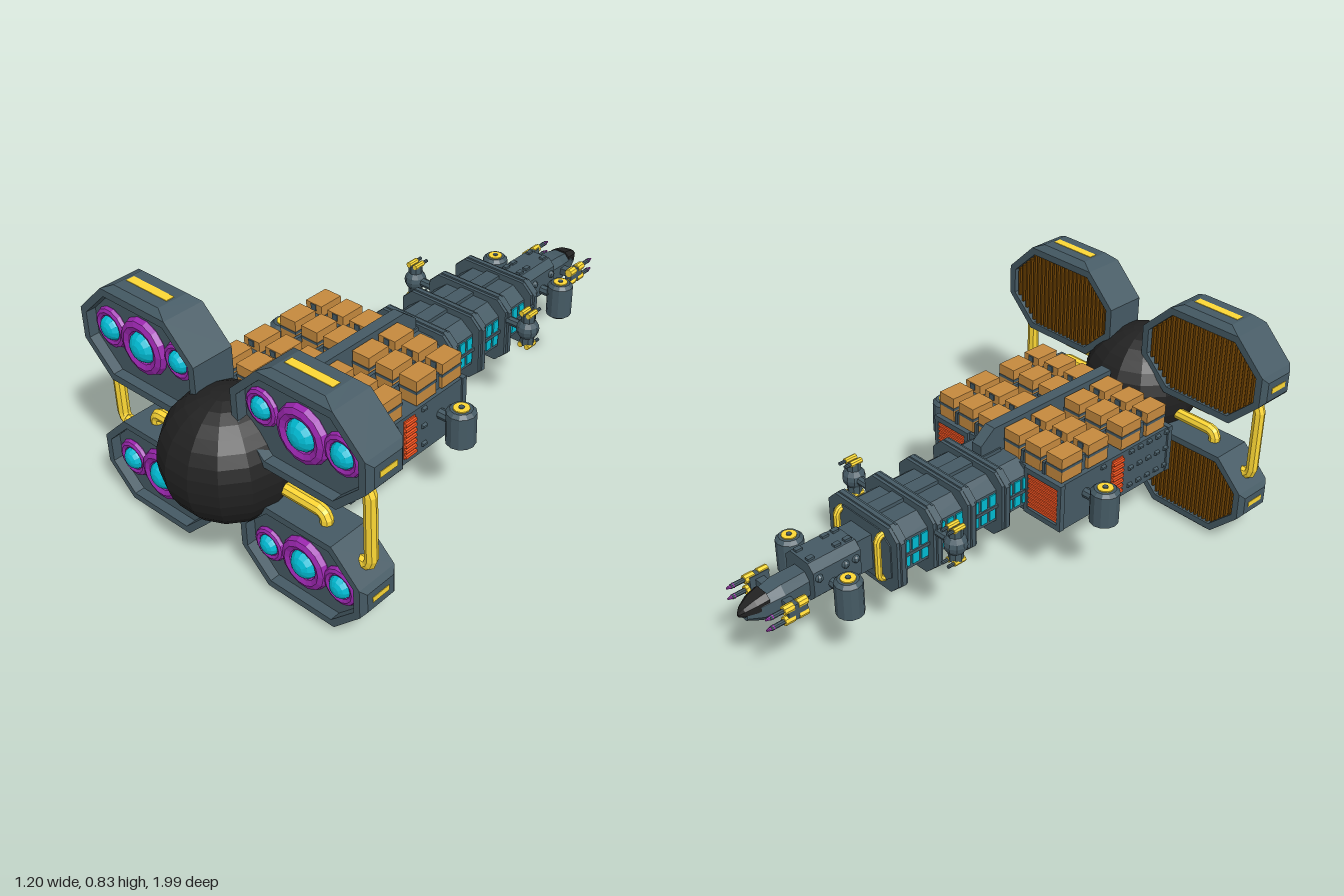
import * as THREE from 'three';

const mat = (color) => new THREE.MeshStandardMaterial({ color, flatShading: true });
const GREY = mat(0x455a64), BLACK = mat(0x212121), YELLOW = mat(0xfdd835), PURPLE = mat(0x9c27b0);
const BLUE = mat(0x00bcd4), TAN = mat(0xc68a3e), ORANGE = mat(0xff5722), BROWN = mat(0x6b4000), DARK = mat(0x2c3a41);

function add(parent, name, geo, m, x = 0, y = 0, z = 0) {
  const mesh = new THREE.Mesh(geo, m);
  mesh.name = name;
  mesh.position.set(x, y, z);
  parent.add(mesh);
  return mesh;
}
const box = (p, name, m, w, h, d, x, y, z) => add(p, name, new THREE.BoxGeometry(w, h, d), m, x, y, z);
const cyl = (p, name, m, r, h, x, y, z, n = 12, r2 = r) => add(p, name, new THREE.CylinderGeometry(r2, r, h, n), m, x, y, z);

// Octagon with half sizes w, h and flat half lengths a (top) and b (side)
const octagon = (w, h, a, b) => [[w, -b], [w, b], [a, h], [-a, h], [-w, b], [-w, -b], [-a, -h], [a, -h]].map((p) => new THREE.Vector2(...p));
function prism(outer, depth, hole) {
  const shape = new THREE.Shape(outer);
  if (hole) shape.holes.push(new THREE.Path(hole));
  return new THREE.ExtrudeGeometry(shape, { depth, bevelEnabled: false });
}
// Box whose +y end is shrunk
function frustum(w, h, d, sx, sz) {
  const g = new THREE.BoxGeometry(w, h, d), p = g.attributes.position;
  for (let i = 0; i < p.count; i++) if (p.getY(i) > 0) p.setXYZ(i, p.getX(i) * sx, p.getY(i), p.getZ(i) * sz);
  g.computeVertexNormals();
  return g;
}
function pipe(parent, name, points, r) {
  const curve = new THREE.CatmullRomCurve3(points.map((p) => new THREE.Vector3(...p)), false, 'catmullrom', 0);
  return add(parent, name, new THREE.TubeGeometry(curve, 24, r, 8), YELLOW);
}

function enginePod() {
  const g = new THREE.Group();
  g.name = 'enginePod';
  const inner = octagon(0.23, 0.14, 0.132, 0.046);
  add(g, 'podRim', prism(octagon(0.255, 0.165, 0.143, 0.055), 0.15, inner), GREY, 0, 0, 0.68);
  add(g, 'podCore', prism(inner, 0.085), GREY, 0, 0, 0.71);
  add(g, 'rearGrilleBack', prism(inner, 0.01), BROWN, 0, 0, 0.702);
  for (let i = -11; i <= 11; i++) {
    const x = i * 0.0195, ax = Math.abs(x) + 0.005;
    const h = ax < 0.132 ? 0.14 : 0.14 - (ax - 0.132) * 0.96;
    box(g, 'rearGrilleBar', BROWN, 0.009, 2 * h, 0.018, x, 0, 0.696);
  }
  // Tapered caps with lights on top and on the outer side
  add(g, 'topCap', frustum(0.286, 0.02, 0.15, 0.7, 0.73), GREY, 0, 0.175, 0.755);
  box(g, 'topLight', YELLOW, 0.18, 0.006, 0.03, 0, 0.184, 0.755);
  add(g, 'sideCap', frustum(0.11, 0.015, 0.15, 0.65, 0.75), GREY, 0.2625, 0, 0.755).rotation.z = -Math.PI / 2;
  box(g, 'sideLight', YELLOW, 0.006, 0.02, 0.07, 0.269, 0, 0.755);
  // Three thrusters: x, y, outer radius, core radius
  for (const [x, y, R, r] of [[0, 0.005, 0.097, 0.053], [-0.158, 0.02, 0.063, 0.038], [0.15, 0.01, 0.07, 0.042]]) {
    const t = (R - r) * 0.55;
    add(g, 'thrusterRing', new THREE.TorusGeometry(R - t, t, 8, 14), PURPLE, x, y, 0.797);
    const core = add(g, 'thrusterCore', new THREE.SphereGeometry(r, 12, 8), BLUE, x, y, 0.8);
    core.rotation.x = Math.PI / 2;
    core.scale.y = 0.75;
  }
  return g;
}

// Upright drum with a yellow lid, on an arm from the hull
function drum(g, s, x, y0, y1, z, r, armFrom) {
  cyl(g, 'sideDrum', GREY, r, y1 - y0, s * x, (y0 + y1) / 2, z);
  cyl(g, 'drumShoulder', GREY, r, 0.012, s * x, y1 + 0.006, z, 12, r * 0.75);
  cyl(g, 'drumLid', YELLOW, r * 0.55, 0.012, s * x, y1 + 0.01, z);
  cyl(g, 'drumLidCentre', GREY, r * 0.2, 0.018, s * x, y1 + 0.01, z, 8);
  cyl(g, 'drumBase', DARK, r * 0.7, 0.012, s * x, y0 - 0.005, z);
  cyl(g, 'drumArm', GREY, 0.018, x - armFrom, s * (x + armFrom) / 2, (y0 + y1) / 2 + 0.01, z, 8).rotation.z = Math.PI / 2;
}

function barrel(g, name, m, r, len, x, y, z, tip = r) {
  cyl(g, name, m, r, len, x, y, z, 8, tip).rotation.x = -Math.PI / 2;
}

export function createModel() {
  const model = new THREE.Group();

  // Reactor sphere
  add(model, 'reactorSphere', new THREE.SphereGeometry(0.215, 14, 16), BLACK, 0, 0.414, 0.785);

  // Four engine pods and their pipes
  for (const s of [1, -1]) {
    const upper = enginePod(), lower = enginePod();
    upper.position.set(s * 0.33, 0.645, 0);
    upper.scale.set(s, 1, 1);
    lower.position.set(s * 0.313, 0.174, 0);
    lower.scale.set(s * 0.94, -0.94, 1);
    model.add(upper, lower);
    const z = 0.76;
    pipe(model, 'outerPipe', [[s * 0.44, 0.55, z], [s * 0.52, 0.55, z], [s * 0.537, 0.53, z], [s * 0.537, 0.28, z], [s * 0.52, 0.262, z], [s * 0.44, 0.262, z]], 0.021);
    pipe(model, 'upperInnerPipe', [[s * 0.15, 0.445, z], [s * 0.35, 0.445, z], [s * 0.367, 0.46, z], [s * 0.367, 0.51, z]], 0.021);
    pipe(model, 'lowerInnerPipe', [[s * 0.15, 0.365, z], [s * 0.35, 0.365, z], [s * 0.367, 0.35, z], [s * 0.367, 0.3, z]], 0.021);
  }

  // Cargo hull and central spine
  box(model, 'cargoHull', GREY, 0.6, 0.18, 0.53, 0, 0.34, 0.32);
  const spine = new THREE.Shape([[-0.585, 0.38], [0.04, 0.38], [0.04, 0.49], [-0.02, 0.537], [-0.585, 0.537]].map((p) => new THREE.Vector2(...p)));
  add(model, 'cargoSpine', new THREE.ExtrudeGeometry(spine, { depth: 0.044, bevelEnabled: false }), GREY, -0.022, 0, 0).rotation.y = Math.PI / 2;
  model.children[model.children.length - 1].position.x = -0.022;

  for (const s of [1, -1]) {
    // Containers in pairs, joined by clips
    for (const x of [0.063, 0.161, 0.258]) {
      for (const z of [0.107, 0.23, 0.392, 0.517]) {
        box(model, 'container', TAN, 0.07, 0.09, 0.094, s * x, 0.48, z);
        box(model, 'containerBand', GREY, 0.073, 0.01, 0.097, s * x, 0.482, z);
      }
      for (const z of [0.168, 0.454]) {
        box(model, 'containerClip', GREY, 0.045, 0.06, 0.035, s * x, 0.46, z);
        for (const dz of [-0.026, 0.026]) box(model, 'clipLug', GREY, 0.022, 0.022, 0.03, s * x, 0.512, z + dz);
      }
    }
    for (const x of [0.112, 0.21]) box(model, 'cargoRail', GREY, 0.012, 0.055, 0.52, s * x, 0.45, 0.32);
    // Side louvres
    for (const z of [0.57, 0.525, 0.48, 0.435, 0.39, 0.25])
      for (const y of [0.415, 0.35, 0.28])
        add(model, 'sideLouvre', frustum(0.018, 0.012, 0.022, 0.4, 0.8), GREY, s * 0.303, y, z).rotation.z = -s * Math.PI / 2;
    // Radiator grilles on the sides and both ends
    box(model, 'sideRadiator', ORANGE, 0.01, 0.145, 0.052, s * 0.299, 0.345, 0.32);
    for (let i = 0; i < 7; i++) box(model, 'sideRadiatorSlat', ORANGE, 0.02, 0.01, 0.052, s * 0.302, 0.283 + i * 0.0205, 0.32);
    for (const z of [0.055, 0.585]) {
      box(model, 'endRadiator', ORANGE, 0.135, 0.13, 0.006, s * 0.222, 0.343, z);
      for (let i = 0; i < 7; i++) box(model, 'endRadiatorSlat', ORANGE, 0.135, 0.009, 0.016, s * 0.222, 0.286 + i * 0.019, z);
      for (const y of [0.264, 0.422]) box(model, 'endFrame', GREY, 0.16, 0.02, 0.02, s * 0.222, y, z);
      for (const x of [0.146, 0.298]) box(model, 'endFrame', GREY, 0.016, 0.178, 0.02, s * x, 0.343, z);
    }
    drum(model, s, 0.385, 0.285, 0.4, 0.17, 0.05, 0.29);
    drum(model, s, 0.148, 0.25, 0.365, -0.7, 0.046, 0.05);
  }

  // Habitat neck with ribs and windows
  add(model, 'neck', prism(octagon(0.14, 0.1, 0.09, 0.06), 0.6), GREY, 0, 0.34, -0.53);
  box(model, 'neckSpine', GREY, 0.055, 0.02, 0.57, 0, 0.443, -0.24);
  const ribZ = [-0.065, -0.215, -0.36, -0.507];
  for (const z of ribZ) {
    add(model, 'neckRib', prism(octagon(0.168, 0.122, 0.13, 0.085), 0.038), GREY, 0, 0.34, z - 0.019);
    add(model, 'ribBand', prism(octagon(0.176, 0.128, 0.125, 0.08), 0.016), GREY, 0, 0.34, z - 0.008);
  }
  for (const s of [1, -1]) {
    for (const rz of ribZ)
      for (const dz of [0.038, 0.075, 0.112])
        for (const y of [0.37, 0.315]) box(model, 'neckWindow', BLUE, 0.012, 0.042, 0.026, s * 0.139, y, rz + dz);
    box(model, 'windowRail', GREY, 0.022, 0.012, 0.56, s * 0.139, 0.343, -0.24);
    pipe(model, 'neckPipe', [[s * 0.1, 0.425, -0.51], [s * 0.1, 0.425, -0.535], [s * 0.1, 0.41, -0.548], [s * 0.1, 0.275, -0.548], [s * 0.1, 0.26, -0.535], [s * 0.1, 0.26, -0.51]], 0.012);

    // Ball turrets with twin guns above and below
    const tx = s * 0.25, tz = -0.36;
    cyl(model, 'turretArm', GREY, 0.016, 0.1, s * 0.19, 0.39, tz, 8).rotation.z = Math.PI / 2;
    add(model, 'turretBall', new THREE.SphereGeometry(0.04, 10, 8), GREY, tx, 0.39, tz);
    cyl(model, 'turretCollar', GREY, 0.025, 0.12, tx, 0.39, tz, 8);
    for (const y of [0.452, 0.328])
      for (const dx of [-0.014, 0.014]) {
        barrel(model, 'turretGun', YELLOW, 0.01, 0.045, tx + dx, y, tz);
        barrel(model, 'turretMuzzle', GREY, 0.006, 0.025, tx + dx, y, tz - 0.033);
      }
  }

  // Forward module
  box(model, 'forwardJoint', GREY, 0.1, 0.13, 0.08, 0, 0.335, -0.56);
  add(model, 'forwardModule', prism(octagon(0.07, 0.07, 0.045, 0.045), 0.18), GREY, 0, 0.34, -0.77);
  for (const z of [-0.61, -0.65, -0.75]) {
    for (const s of [1, -1]) {
      add(model, 'sideStud', new THREE.SphereGeometry(0.014, 8, 6), GREY, s * 0.07, 0.36, z);
      box(model, 'topStud', GREY, 0.016, 0.012, 0.024, s * 0.03, 0.412, z);
    }
  }

  // Tapered cockpit: stacked rings lofted toward the nose
  const cockpit = (name, m, sections) => {
    const pos = [], idx = [];
    sections.forEach(([z, w, h, y]) => octagon(w, h, w * 0.55, h * 0.5).forEach((p) => pos.push(p.x, p.y + y, z)));
    for (let i = 0; i < sections.length - 1; i++)
      for (let j = 0; j < 8; j++) {
        const a = i * 8 + j, b = i * 8 + (j + 1) % 8;
        idx.push(a, a + 8, b, b, a + 8, b + 8);
      }
    const last = (sections.length - 1) * 8;
    for (let j = 1; j < 7; j++) idx.push(0, j, j + 1, last, last + j + 1, last + j);
    const g = new THREE.BufferGeometry();
    g.setAttribute('position', new THREE.Float32BufferAttribute(pos, 3));
    g.setIndex(idx);
    const flat = g.toNonIndexed();
    flat.computeVertexNormals();
    const mesh = add(model, name, flat, m.clone());
    mesh.material.side = THREE.DoubleSide;
  };
  cockpit('cockpit', GREY, [[-0.76, 0.046, 0.052, 0.318], [-0.86, 0.05, 0.053, 0.316], [-0.93, 0.038, 0.042, 0.312], [-0.98, 0.02, 0.022, 0.312]]);
  cockpit('canopy', BLACK, [[-0.91, 0.04, 0.03, 0.334], [-0.95, 0.033, 0.026, 0.328], [-0.985, 0.018, 0.016, 0.32], [-1, 0.005, 0.005, 0.315]]);

  // Nose guns
  for (const s of [1, -1]) {
    box(model, 'noseGunArm', GREY, 0.07, 0.025, 0.03, s * 0.07, 0.32, -0.86);
    box(model, 'noseGunMount', GREY, 0.026, 0.055, 0.07, s * 0.098, 0.32, -0.86);
    for (const y of [0.34, 0.3]) {
      for (const z of [-0.84, -0.89]) barrel(model, 'noseGunBody', YELLOW, 0.015, 0.035, s * 0.1, y, z);
      barrel(model, 'noseGunBarrel', GREY, 0.008, 0.06, s * 0.1, y, -0.925);
      barrel(model, 'noseGunTip', PURPLE, 0.009, 0.025, s * 0.1, y, -0.957, 0.003);
    }
  }
  return model;
}
